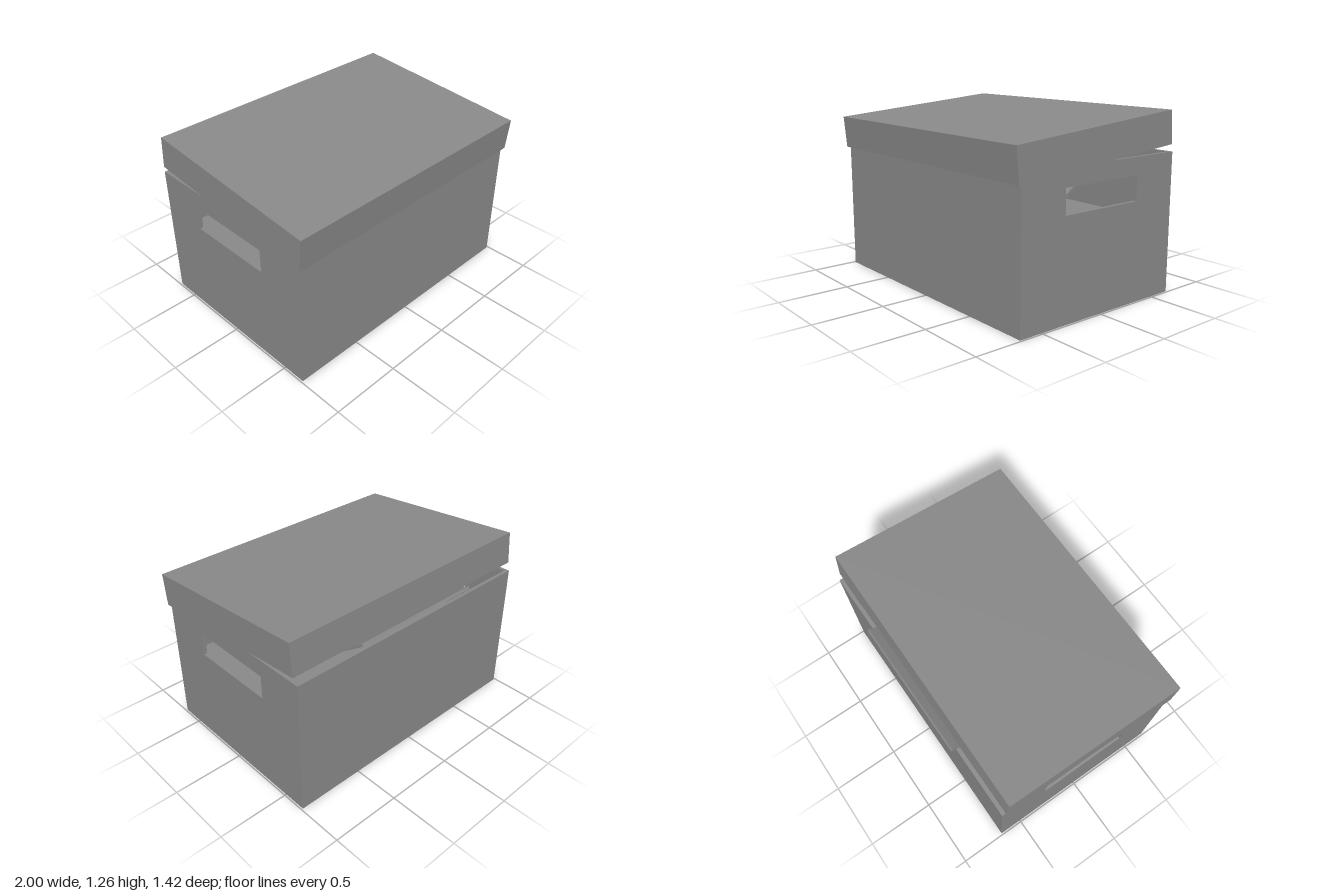
import * as THREE from 'three';

const material = new THREE.MeshStandardMaterial({ color: 0x888888, flatShading: true });

// Box with its centre at (x, y, z)
function panel(name, w, h, d, x, y, z) {
  const mesh = new THREE.Mesh(new THREE.BoxGeometry(w, h, d), material);
  mesh.name = name;
  mesh.position.set(x, y, z);
  return mesh;
}

// End wall with a rectangular hand hole, standing in the z-y plane
function endWall(depth, height, thickness) {
  const shape = new THREE.Shape();
  shape.moveTo(-depth / 2, 0);
  shape.lineTo(depth / 2, 0);
  shape.lineTo(depth / 2, height);
  shape.lineTo(-depth / 2, height);
  shape.closePath();
  const hole = new THREE.Path();
  hole.moveTo(-0.317, 0.689);
  hole.lineTo(-0.317, 0.858);
  hole.lineTo(0.317, 0.858);
  hole.lineTo(0.317, 0.689);
  hole.closePath();
  shape.holes.push(hole);
  const geometry = new THREE.ExtrudeGeometry(shape, { depth: thickness, bevelEnabled: false });
  geometry.translate(0, 0, -thickness / 2);
  geometry.rotateY(Math.PI / 2);
  return geometry;
}

function createBody() {
  const body = new THREE.Group();
  body.name = 'boxBody';
  const w = 1.976, h = 0.98, d = 1.335, t = 0.025;
  body.add(panel('floor', w - 2 * t, t, d - 2 * t, 0, t / 2, 0));
  const endGeometry = endWall(d, h, t);
  for (const side of [-1, 1]) {
    const end = new THREE.Mesh(endGeometry, material);
    end.name = side > 0 ? 'leftEndWall' : 'rightEndWall';
    end.position.x = side * (w - t) / 2;
    body.add(end);
    body.add(panel(side > 0 ? 'frontWall' : 'backWall', w - 2 * t, h, t, 0, h / 2, side * (d - t) / 2));
  }
  // Contents filling the lower half
  body.add(panel('paperStack', w - 2 * t, 0.475, d - 2 * t, 0, t + 0.2375, 0));
  return body;
}

// Open-bottomed lid, centred on its own origin and tilted up at the back
function createLid() {
  const lid = new THREE.Group();
  lid.name = 'lid';
  const w = 2, h = 0.23, d = 1.34, t = 0.012;
  lid.add(panel('lidTop', w, t, d, 0, (h - t) / 2, 0));
  for (const side of [-1, 1]) {
    lid.add(panel('lidEnd', t, h - t, d, side * (w - t) / 2, -t / 2, 0));
    lid.add(panel('lidSide', w - 2 * t, h - t, t, 0, -t / 2, side * (d - t) / 2));
  }
  lid.position.set(0, 1.089, 0.033);
  lid.rotation.x = THREE.MathUtils.degToRad(5);
  return lid;
}

// Loose folder leaning from the stack over the back wall, slightly askew
function createFolder() {
  const folder = panel('folder', 1, 0.02, 0.98, 0.02, 0.776, -0.301);
  folder.rotation.set(THREE.MathUtils.degToRad(35), 0.006, 0);
  return folder;
}

export function createModel() {
  const model = new THREE.Group();
  model.name = 'storageBox';
  model.add(createBody(), createLid(), createFolder());
  return model;
}
